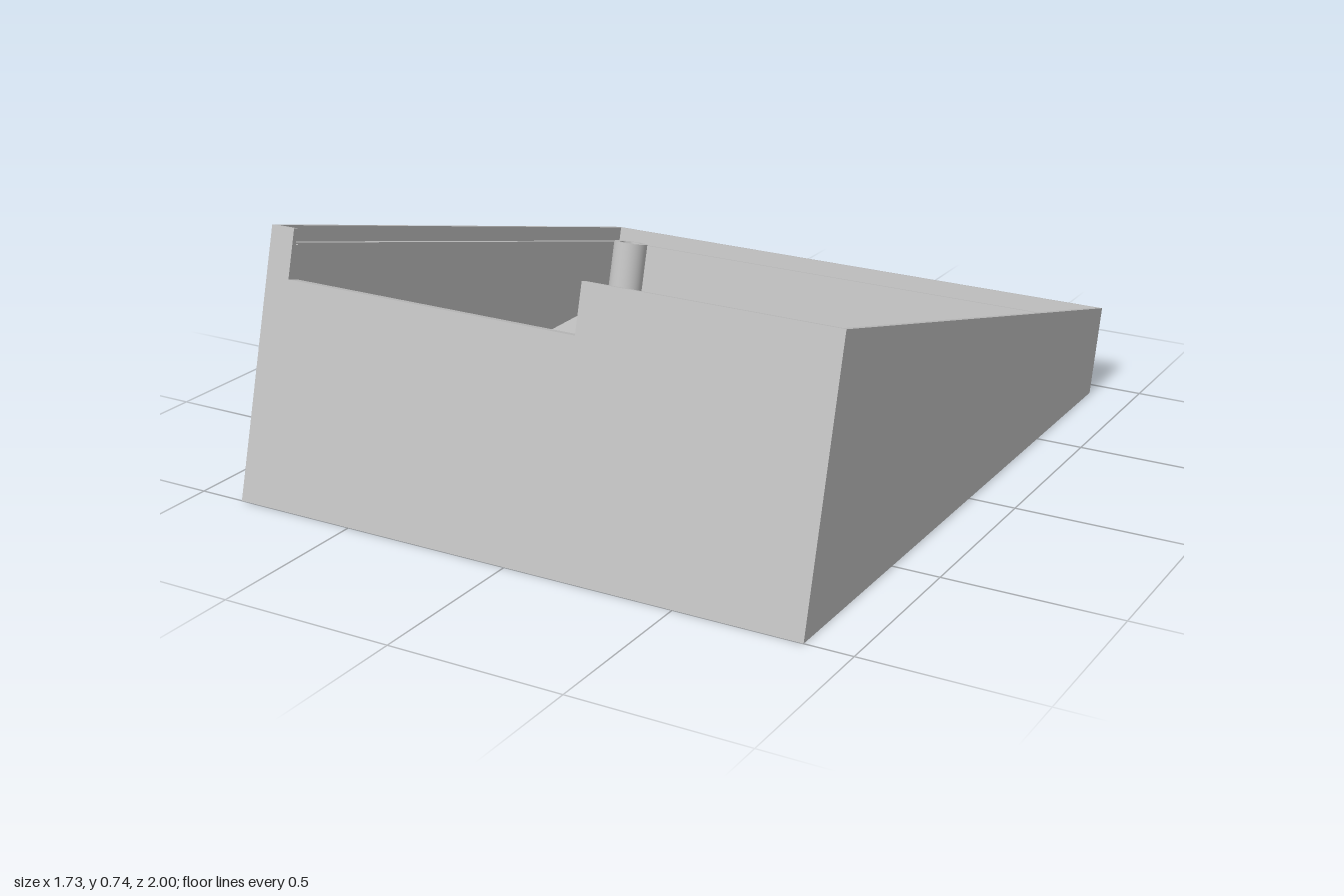
import * as THREE from 'three';
import { toCreasedNormals } from 'three/addons/utils/BufferGeometryUtils.js';

const TILT = Math.PI / 12;
const C = Math.cos(TILT), S = Math.sin(TILT);
const W = 0.865;                    // half width
const LIP = 0.015, WALL = 0.035;    // wall layers
const STEP = 0.045;                 // how far the shelf sits below the rim
const FLOOR = 0.04, RIB_TOP = 0.11;
const FRONT_LEN = 0.74 / C, BACK_LEN = 0.255 / C;

export function createModel() {
  const root = new THREE.Group();
  root.name = 'enclosureBase';
  const grey = new THREE.MeshStandardMaterial({ color: 0xc0c0c0 });
  grey.name = 'grey plastic';

  const add = (name, geometry) => {
    const mesh = new THREE.Mesh(geometry, grey);
    mesh.name = name;
    root.add(mesh);
    return mesh;
  };

  // Side profile given as [z, y] points, extruded from x0 to x1
  const prism = (name, points, x0, x1) => {
    const shape = new THREE.Shape(points.map(([z, y]) => new THREE.Vector2(z, y)));
    const g = new THREE.ExtrudeGeometry(shape, { depth: x1 - x0, bevelEnabled: false });
    g.rotateY(-Math.PI / 2);
    g.translate(x1, 0, 0);
    return add(name, g);
  };

  const box = (name, x0, x1, y0, y1, z0, z1) => {
    const g = new THREE.BoxGeometry(x1 - x0, y1 - y0, z1 - z0);
    g.translate((x0 + x1) / 2, (y0 + y1) / 2, (z0 + z1) / 2);
    return add(name, g);
  };

  // Leaning wall sections: t = thickness, s = length up the slope
  const frontWall = (t, s) => [
    [1, 0], [1 - s * S, s * C], [1 - s * S - t * C, s * C - t * S], [1 - t / C, 0],
  ];
  const backWall = (t, s) => [
    [-0.93, 0], [-0.93 - s * S, s * C], [-0.93 - s * S + t * C, s * C + t * S], [-0.93 + t / C, 0],
  ];

  // Side walls: tall thin outer skin and a lower inner shelf
  const sideProfile = (drop) => {
    const f = FRONT_LEN - drop, b = BACK_LEN - drop;
    return [[1, 0], [1 - f * S, f * C], [-0.93 - b * S, b * C], [-0.93, 0]];
  };
  for (const [name, sign] of [['left', 1], ['right', -1]]) {
    const span = (a, b) => (sign > 0 ? [a, b] : [-b, -a]);
    prism(name + 'SideSkin', sideProfile(0), ...span(W - LIP, W));
    prism(name + 'SideShelf', sideProfile(STEP), ...span(W - WALL, W - LIP));
  }

  // Back wall
  prism('backSkin', backWall(LIP, BACK_LEN), -W, W);
  prism('backShelf', backWall(WALL, BACK_LEN - STEP), -W + LIP, W - LIP);

  // Front wall with a wide notch in its top edge
  const NOTCH0 = -0.79, NOTCH1 = 0.125;
  prism('frontWallNotched', frontWall(WALL, 0.605 / C), NOTCH0, NOTCH1);
  for (const [x0, x1] of [[-W, NOTCH0], [NOTCH1, W]]) {
    prism('frontSkin', frontWall(LIP, FRONT_LEN), x0, x1);
    prism('frontShelf', frontWall(WALL, FRONT_LEN - STEP),
      Math.max(x0, -W + LIP), Math.min(x1, W - LIP));
  }

  // Floor in three layers so the recesses can differ above and below
  const rect = (x0, x1, z0, z1, r = 0) => {
    const p = new THREE.Path();
    if (r === 0) {
      p.moveTo(x0, z0).lineTo(x1, z0).lineTo(x1, z1).lineTo(x0, z1).closePath();
    } else {
      p.absarc(x1 - r, z1 - r, r, 0, Math.PI / 2);
      p.absarc(x0 + r, z1 - r, r, Math.PI / 2, Math.PI);
      p.absarc(x0 + r, z0 + r, r, Math.PI, Math.PI * 1.5);
      p.absarc(x1 - r, z0 + r, r, Math.PI * 1.5, Math.PI * 2);
      p.closePath();
    }
    return p;
  };
  const openings = () => {
    const holes = [rect(-0.263, 0.263, 0.37, 0.655)];
    for (const side of [-1, 1]) {
      for (let i = 0; i < 5; i++) {
        const x = side * (0.383 + i * 0.068);
        holes.push(rect(x - 0.017, x + 0.017, 0.265, 0.73));
      }
    }
    return holes;
  };
  const floorLayer = (name, y0, y1, extraHoles) => {
    const shape = new THREE.Shape(rect(-0.845, 0.845, -0.92, 0.972).getPoints());
    shape.holes.push(...openings(), ...extraHoles);
    const g = new THREE.ExtrudeGeometry(shape, {
      depth: y1 - y0, bevelEnabled: false, curveSegments: 8,
    });
    g.rotateX(Math.PI / 2);
    g.translate(0, y1, 0);
    add(name, g);
  };
  floorLayer('floorUnderside', 0, 0.012, [rect(-0.703, 0.703, -0.79, 0.08, 0.045)]);
  floorLayer('floorCore', 0.012, 0.028, []);
  floorLayer('floorTop', 0.028, FLOOR, [rect(-0.37, 0.37, -0.705, 0)]);

  // Upright retaining ribs: closed at the back, gap in the front edge
  const ribFrame = (name, half, z0, z1, gap) => {
    const t = 0.026, y0 = FLOOR - 0.012;
    box(name + 'Back', -half, half, y0, RIB_TOP, z0, z0 + t);
    for (const s of [-1, 1]) {
      const span = (a, b) => (s > 0 ? [a, b] : [-b, -a]);
      box(name + 'Side', ...span(half - t, half), y0, RIB_TOP, z0 + t, z1 - t);
      box(name + 'Front', ...span(gap, half), y0, RIB_TOP, z1 - t, z1);
    }
  };
  ribFrame('pocketRib', 0.395, -0.73, 0.026, 0.198);
  ribFrame('windowRib', 0.322, 0.203, 0.835, 0.115);

  // Hollow screw posts, square to the sloping rim
  const post = (name, x, topY, topZ) => {
    const baseY = 0.025;
    const len = (topY - baseY) / C;
    const profile = [
      [0.056, 0], [0.056, len], [0.036, len], [0.036, Math.max(0.03, len - 0.25)],
      [0, Math.max(0.03, len - 0.25)],
    ].map(([r, y]) => new THREE.Vector2(r, y));
    const mesh = add(name, toCreasedNormals(new THREE.LatheGeometry(profile, 32), 0.6));
    mesh.position.set(x, baseY, topZ + len * S);
    mesh.rotation.x = -TILT;
  };
  post('backLeftPost', 0.755, 0.245, -0.89);
  post('backRightPost', -0.755, 0.245, -0.89);
  post('frontLeftPost', 0.755, 0.67, 0.7);

  return root;
}
